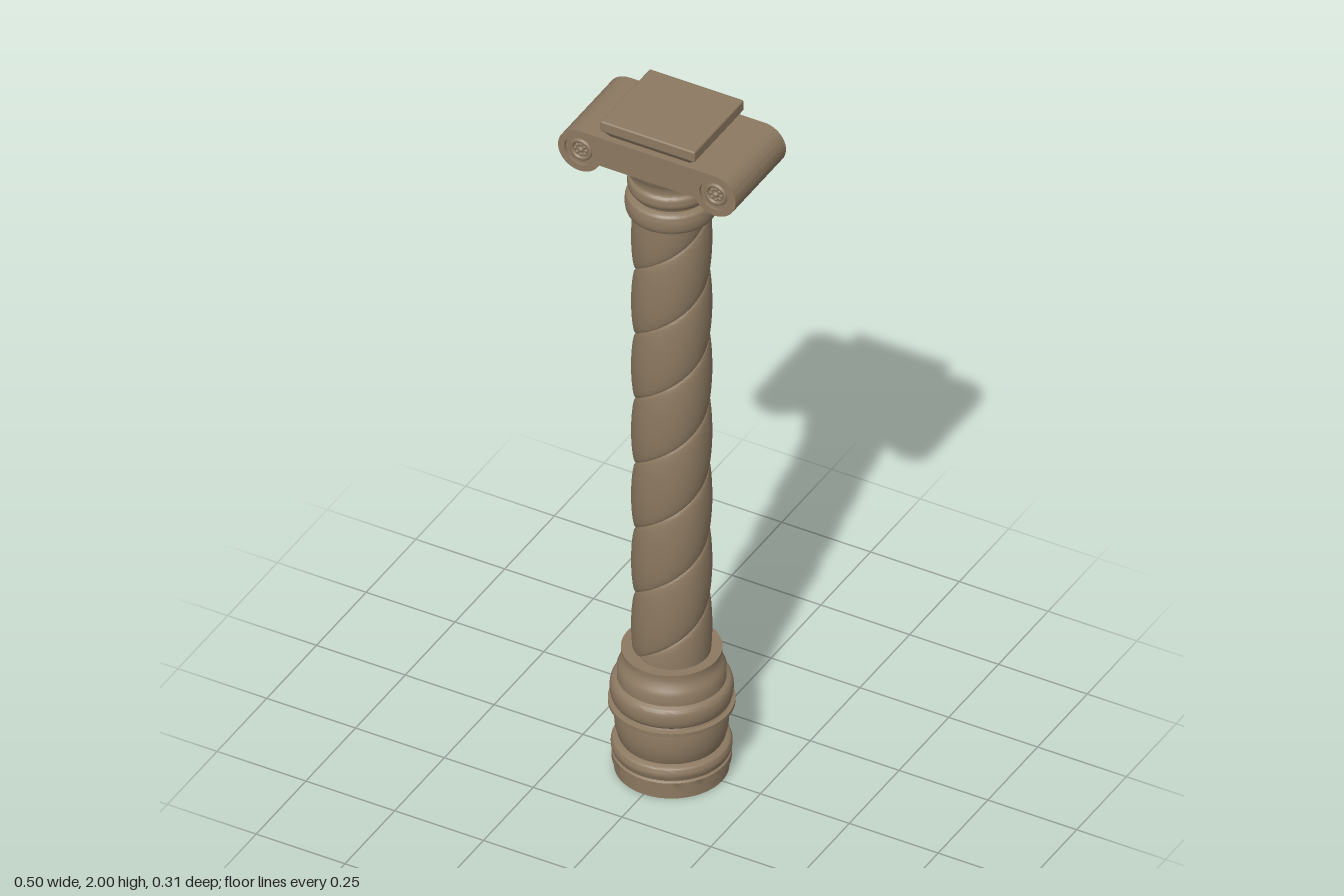
import * as THREE from 'three';
import { toCreasedNormals } from 'three/addons/utils/BufferGeometryUtils.js';
import { RoundedBoxGeometry } from 'three/addons/geometries/RoundedBoxGeometry.js';

const stone = new THREE.MeshStandardMaterial({ color: 0x8c7961 });
stone.name = 'stone';

function part(name, geometry, x = 0, y = 0, z = 0) {
  const mesh = new THREE.Mesh(geometry, stone);
  mesh.name = name;
  mesh.position.set(x, y, z);
  return mesh;
}

// Turned part from [radius, height] pairs, listed from bottom to top
function turned(name, profile) {
  const points = profile.map(([r, y]) => new THREE.Vector2(r, y));
  return part(name, toCreasedNormals(new THREE.LatheGeometry(points, 64), 0.6));
}

// Rounded moulding between two heights
function bead(r, bulge, y0, y1, steps = 8) {
  return Array.from({ length: steps + 1 }, (_, i) => {
    const a = (i / steps) * Math.PI;
    return [r + bulge * Math.sin(a), (y0 + y1) / 2 - Math.cos(a) * (y1 - y0) / 2];
  });
}

// Twisted shaft: a two-lobed section that turns as it rises
function shaftGeometry(y0, y1) {
  const rise = 0.198; // height of half a turn
  const geo = new THREE.CylinderGeometry(1, 1, y1 - y0, 64, 240, true);
  const pos = geo.attributes.position;
  for (let i = 0; i < pos.count; i++) {
    const angle = Math.atan2(pos.getX(i), pos.getZ(i));
    const y = pos.getY(i) + (y0 + y1) / 2;
    const r = 0.089 + 0.011 * Math.sqrt(Math.abs(Math.sin(angle)));
    const turn = angle - 0.42 + Math.PI * (y - 0.37) / rise;
    pos.setXYZ(i, r * Math.sin(turn), y, r * Math.cos(turn));
  }
  geo.computeVertexNormals();
  return toCreasedNormals(geo, 0.5);
}

// Scroll block with round recesses at its ends
const SX = 0.19, SY = 1.89, SR = 0.06, ZF = 0.125, ZB = -0.128;
function scrollGeometry() {
  const s = new THREE.Shape();
  s.moveTo(-0.135, 1.865);
  s.lineTo(0.135, 1.865);
  s.absarc(SX, SY, SR, Math.PI + 0.43, Math.PI * 2.5, false);
  s.lineTo(-SX, SY + SR);
  s.absarc(-SX, SY, SR, Math.PI / 2, Math.PI * 2 - 0.43, false);
  for (const side of [-1, 1]) {
    const hole = new THREE.Path();
    hole.absarc(side * SX, SY, 0.042, 0, Math.PI * 2, true);
    s.holes.push(hole);
  }
  const geo = new THREE.ExtrudeGeometry(s, { depth: ZF - ZB, bevelEnabled: false, curveSegments: 32 });
  geo.translate(0, 0, ZB);
  return toCreasedNormals(geo, 0.6);
}

export function createModel() {
  const column = new THREE.Group();
  column.name = 'column';

  // Base: plinth, barrel drum, thin disc and stepped mouldings
  column.add(turned('plinth', [
    [0, 0], [0.142, 0], [0.142, 0.027], [0.148, 0.03], [0.148, 0.05], [0.143, 0.053],
    ...bead(0.142, 0.008, 0.056, 0.092), [0.13, 0.096], [0, 0.097],
  ]));
  column.add(turned('drum', [
    [0.128, 0.092], [0.134, 0.105], [0.14, 0.13], [0.142, 0.155], [0.141, 0.18],
    [0.138, 0.196], [0.157, 0.198], [0.157, 0.208], [0.146, 0.21],
  ]));
  column.add(turned('baseMoulding', [
    [0.146, 0.208], ...bead(0.143, 0.01, 0.215, 0.272), [0.135, 0.276], [0.135, 0.305],
    [0.129, 0.316], [0.122, 0.327], [0.117, 0.342], [0.117, 0.348], [0.125, 0.353],
    [0.125, 0.362], [0, 0.362],
  ]));

  column.add(part('twistedShaft', shaftGeometry(0.355, 1.715)));

  // Necking below the scrolls
  column.add(turned('collar', [
    [0, 1.702], [0.108, 1.702], ...bead(0.109, 0.007, 1.705, 1.757), [0.1, 1.76], [0, 1.762],
  ]));
  column.add(turned('neck', [
    [0.094, 1.758], [0.097, 1.768], ...bead(0.102, 0.008, 1.772, 1.81), [0.1, 1.815],
    [0.1, 1.82], [0.108, 1.823], [0.108, 1.833], [0.112, 1.845], [0.12, 1.858], [0.12, 1.868],
  ]));

  // Scrolls with sunken eyes on both faces
  column.add(part('scrolls', scrollGeometry()));
  for (const side of [-1, 1]) {
    const core = new THREE.CylinderGeometry(0.043, 0.043, ZF - ZB - 0.016, 32);
    core.rotateX(Math.PI / 2);
    column.add(part('scrollCore', core, side * SX, SY, (ZF + ZB) / 2));
    for (const z of [ZF - 0.008, ZB + 0.008]) {
      column.add(part('scrollRing', new THREE.TorusGeometry(0.026, 0.006, 8, 32), side * SX, SY, z));
      column.add(part('scrollEye', new THREE.SphereGeometry(0.008, 12, 8), side * SX, SY, z));
      for (let i = 0; i < 8; i++) {
        const a = i * Math.PI / 4;
        column.add(part('scrollPetal', new THREE.SphereGeometry(0.005, 8, 6),
          side * SX + 0.015 * Math.cos(a), SY + 0.015 * Math.sin(a), z));
      }
    }
  }

  // Square cap on a sloped underside
  const slope = new THREE.CylinderGeometry(Math.SQRT1_2, Math.SQRT1_2 * 0.86, 0.024, 4, 1).toNonIndexed();
  slope.rotateY(Math.PI / 4);
  slope.scale(0.256, 1, 0.244);
  slope.computeVertexNormals();
  column.add(part('capSlope', slope, 0, 1.96, 0));
  column.add(part('cap', new RoundedBoxGeometry(0.266, 0.032, 0.25, 3, 0.005), 0, 1.984, -0.002));

  return column;
}
